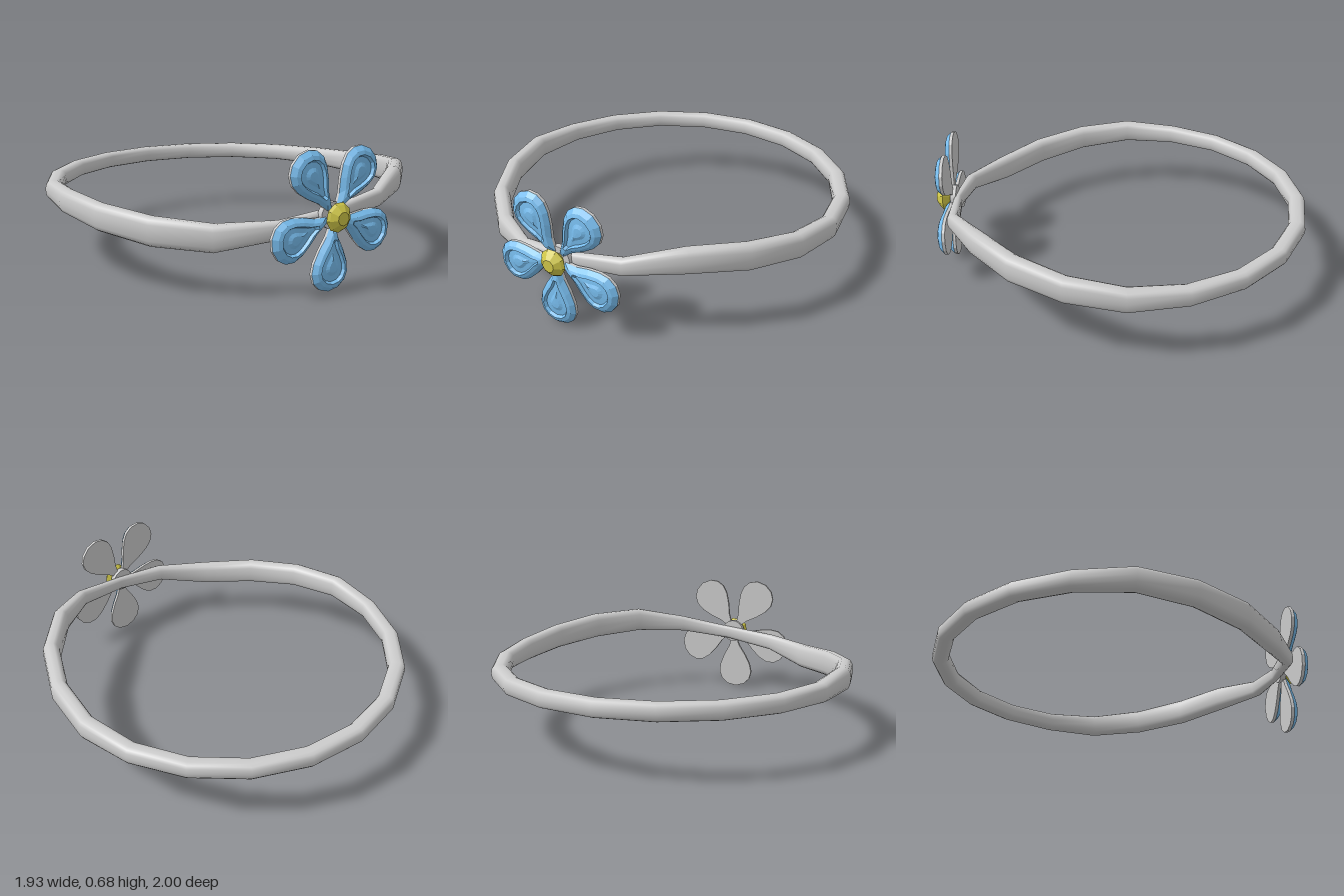
import * as THREE from 'three';

const grey = new THREE.MeshStandardMaterial({ color: 0xcccccc, side: THREE.DoubleSide });
const blue = new THREE.MeshStandardMaterial({ color: 0x78bdee, flatShading: true, side: THREE.DoubleSide });
const yellow = new THREE.MeshStandardMaterial({ color: 0xcfc648, flatShading: true });

// Joins equal-length closed loops of points into a surface.
function skin(loops, closed) {
  const n = loops[0].length, m = loops.length, index = [];
  for (let i = 0; i < (closed ? m : m - 1); i++) {
    for (let j = 0; j < n; j++) {
      const a = i * n + j, b = i * n + (j + 1) % n;
      const c = ((i + 1) % m) * n + j, d = ((i + 1) % m) * n + (j + 1) % n;
      index.push(a, c, d, a, d, b);
    }
  }
  const g = new THREE.BufferGeometry();
  g.setAttribute('position', new THREE.Float32BufferAttribute(loops.flat(2), 3));
  g.setIndex(index);
  g.computeVertexNormals();
  return g;
}

function mesh(name, geometry, material) {
  const m = new THREE.Mesh(geometry, material);
  m.name = name;
  return m;
}

// Band stations every 18 degrees from front to back:
// radius, height offset, half height, half thickness
const stations = [
  [0.92, 0, 0.036, 0.022], [0.94, 0.038, 0.045, 0.032], [0.918, 0.073, 0.067, 0.043],
  [0.92, 0.056, 0.071, 0.045], [0.92, 0.026, 0.067, 0.045], [0.92, 0, 0.061, 0.045],
  [0.92, -0.003, 0.05, 0.045], [0.92, -0.003, 0.046, 0.045], [0.92, -0.003, 0.045, 0.045],
  [0.92, -0.003, 0.045, 0.045], [0.92, -0.003, 0.045, 0.045],
];

function bandGeometry() {
  const loops = [], sides = 14;
  const soft = (v) => Math.sign(v) * Math.abs(v) ** 0.75;
  for (let i = 0; i < 20; i++) {
    const left = i > 10, k = left ? 20 - i : i, a = i * Math.PI / 10;
    const [radius, rise, h, w] = stations[k];
    // the left half sweeps down where the right half sweeps up
    const y = 0.36 + (left && rise > 0 ? -rise : rise);
    const loop = [];
    for (let j = 0; j < sides; j++) {
      const t = j / sides * Math.PI * 2;
      const r = radius + w * soft(Math.cos(t));
      loop.push([r * Math.sin(a), y + h * soft(Math.sin(t)), r * Math.cos(a) - 0.035]);
    }
    loops.push(loop);
  }
  return skin(loops, true);
}

// Teardrop petal outline pointing along +x: distance from flower centre, half width
const half = [[0.04, 0.012], [0.1, 0.034], [0.16, 0.07], [0.22, 0.097], [0.27, 0.105], [0.315, 0.09], [0.347, 0.055]];
const outline = [
  ...half.map(([u, v]) => [u, -v]), [0.361, 0],
  ...half.map(([u, v]) => [u, v]).reverse(),
];

// Bevelled rim, a groove and a raised drop in the middle
function petalGeometry() {
  const levels = [[0, 0.042], [0.2, 0.041], [0.35, 0.033], [0.58, 0.03], [0.66, 0.045], [0.82, 0.038], [1, 0.016]];
  return skin(levels.map(([s, z]) => outline.map(([u, v]) => [0.24 + (u - 0.24) * s, v * s, z])), false);
}

export function createModel() {
  const model = new THREE.Group();
  model.name = 'flowerRing';
  model.add(mesh('band', bandGeometry(), grey));

  const flower = new THREE.Group();
  flower.name = 'flower';
  flower.position.set(-0.03, 0.367, 0.91);
  model.add(flower);

  // Petals with flat backing plates
  const plate = new THREE.ExtrudeGeometry(
    new THREE.Shape(outline.map(([u, v]) => new THREE.Vector2(u, v))),
    { depth: 0.016, bevelEnabled: false });
  const face = petalGeometry();
  for (const degrees of [54, 124, 199, 267, 337]) {
    const petal = new THREE.Group();
    petal.name = 'petal';
    petal.add(mesh('petalBacking', plate, grey), mesh('petalFace', face, blue));
    petal.rotation.z = degrees * Math.PI / 180;
    flower.add(petal);
  }

  // Mounting disc behind the flower
  const disc = mesh('mountingDisc', new THREE.CylinderGeometry(0.065, 0.065, 0.03, 24), grey);
  disc.rotation.x = Math.PI / 2;
  disc.position.z = -0.003;
  flower.add(disc);

  // Faceted stone in the middle
  const profile = [[0, 0.005], [0.035, 0.015], [0.072, 0.053], [0.062, 0.066], [0.032, 0.09], [0, 0.09]];
  const stone = mesh('centreStone',
    new THREE.LatheGeometry(profile.map(([r, y]) => new THREE.Vector2(r, y)), 9), yellow);
  stone.rotation.x = Math.PI / 2;
  flower.add(stone);
  return model;
}
